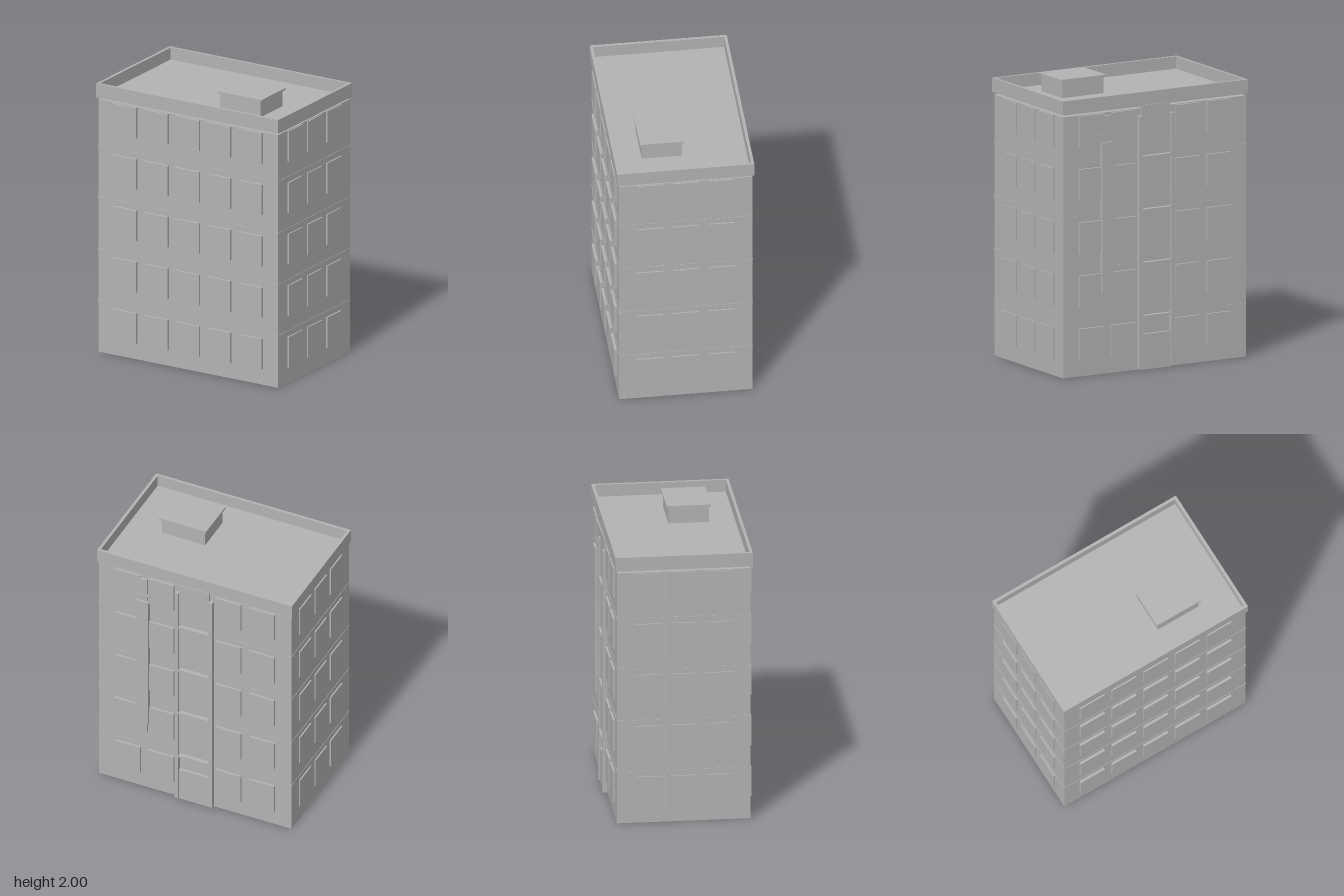
import * as THREE from 'three';

export function createModel() {
  const model = new THREE.Group();
  model.name = 'apartmentBlock';
  const concrete = new THREE.MeshStandardMaterial({ color: 0xb3b3b3 });
  concrete.name = 'concrete grey';

  // Box given by its extents on each axis
  function box(name, x0, x1, y0, y1, z0, z1, parent = model) {
    const mesh = new THREE.Mesh(new THREE.BoxGeometry(x1 - x0, y1 - y0, z1 - z0), concrete);
    mesh.position.set((x0 + x1) / 2, (y0 + y1) / 2, (z0 + z1) / 2);
    mesh.name = name;
    parent.add(mesh);
    return mesh;
  }
  function group(name) {
    const g = new THREE.Group();
    g.name = name;
    model.add(g);
    return g;
  }

  const W = 0.734, BACK = -0.455, FRONT = 0.472, STOREY = 0.3745;

  // Main body and the thin joints between storeys
  box('body', -W, W, 0, 1.84, BACK, FRONT);
  const joints = group('storeyJoints');
  for (let i = 1; i < 5; i++) {
    const y = i * STOREY + 0.002;
    box('storeyJoint', -W - 0.003, W + 0.003, y - 0.004, y + 0.004, BACK - 0.003, FRONT + 0.003, joints);
  }

  // Raised windows on all four sides
  const windows = group('windows');
  for (let floor = 0; floor < 5; floor++) {
    const y0 = 0.115 + floor * STOREY, y1 = y0 + 0.222;
    for (let col = -2; col <= 2; col++) {
      const x = col * 0.2565;
      box('frontWindow', x - 0.098, x + 0.098, y0, y1, FRONT - 0.01, 0.49, windows);
      if (col !== 0) box('backWindow', x - 0.098, x + 0.098, y0, y1, -0.471, BACK + 0.01, windows);
    }
    for (let col = -1; col <= 1; col++) {
      const z = 0.008 + col * 0.2485;
      for (const s of [-1, 1]) {
        const a = s * (W - 0.01), b = s * 0.744;
        box('sideWindow', Math.min(a, b), Math.max(a, b), y0, y1, z - 0.092, z + 0.092, windows);
      }
    }
  }

  // Roof: a slab with a parapet around it
  const roof = group('roof');
  const X = 0.744, Z0 = -0.468, Z1 = 0.486, T = 0.021;
  box('roofSlab', -X + T, X - T, 1.855, 1.868, Z0 + T, Z1 - T, roof);
  const outline = new THREE.Shape([[-X, -Z1], [X, -Z1], [X, -Z0], [-X, -Z0]].map(p => new THREE.Vector2(...p)));
  outline.holes.push(new THREE.Path([[-X + T, -Z1 + T], [-X + T, -Z0 - T], [X - T, -Z0 - T], [X - T, -Z1 + T]]
    .map(p => new THREE.Vector2(...p))));
  const parapet = new THREE.Mesh(new THREE.ExtrudeGeometry(outline, { depth: 0.1, bevelEnabled: false }), concrete);
  parapet.name = 'parapet';
  parapet.rotation.x = -Math.PI / 2;
  parapet.position.y = 1.855;
  roof.add(parapet);

  // Roof access hatch
  const hatch = group('roofHatch');
  box('hatchBase', 0.14, 0.47, 1.865, 1.985, 0, 0.281, hatch);
  box('hatchLid', 0.125, 0.486, 1.985, 2, -0.014, 0.294, hatch);

  // Stairwell strip on the back: entrance, panels, ledges and edge posts
  const stairs = group('stairwell');
  box('entranceDoor', -0.114, 0.114, 0, 0.25, -0.477, BACK + 0.01, stairs);
  for (let i = 1; i < 5; i++) {
    const y = i * STOREY;
    box('stairPanel', -0.114, 0.114, y + 0.022, i === 4 ? 1.862 : y + STOREY - 0.012, -0.475, BACK + 0.01, stairs);
    box('stairLedge', -0.114, 0.114, y - 0.01, y + 0.008, -0.488, BACK + 0.01, stairs);
  }
  for (const s of [-1, 1]) {
    box('stairPost', s * 0.129 - 0.014, s * 0.129 + 0.014, 0.01, 1.79, -0.49, BACK + 0.01, stairs);
  }

  // Vertical duct on the back wall
  const duct = group('duct');
  box('ductCover', 0.345, 0.44, 0.575, 1.635, -0.488, BACK + 0.01, duct);
  box('ductLowerEnd', 0.36, 0.425, 0.49, 0.575, -0.474, BACK + 0.01, duct);
  box('ductUpperEnd', 0.36, 0.425, 1.635, 1.82, -0.474, BACK + 0.01, duct);
  box('ductCollar', 0.335, 0.45, 1.675, 1.69, -0.477, BACK + 0.01, duct);

  return model;
}
